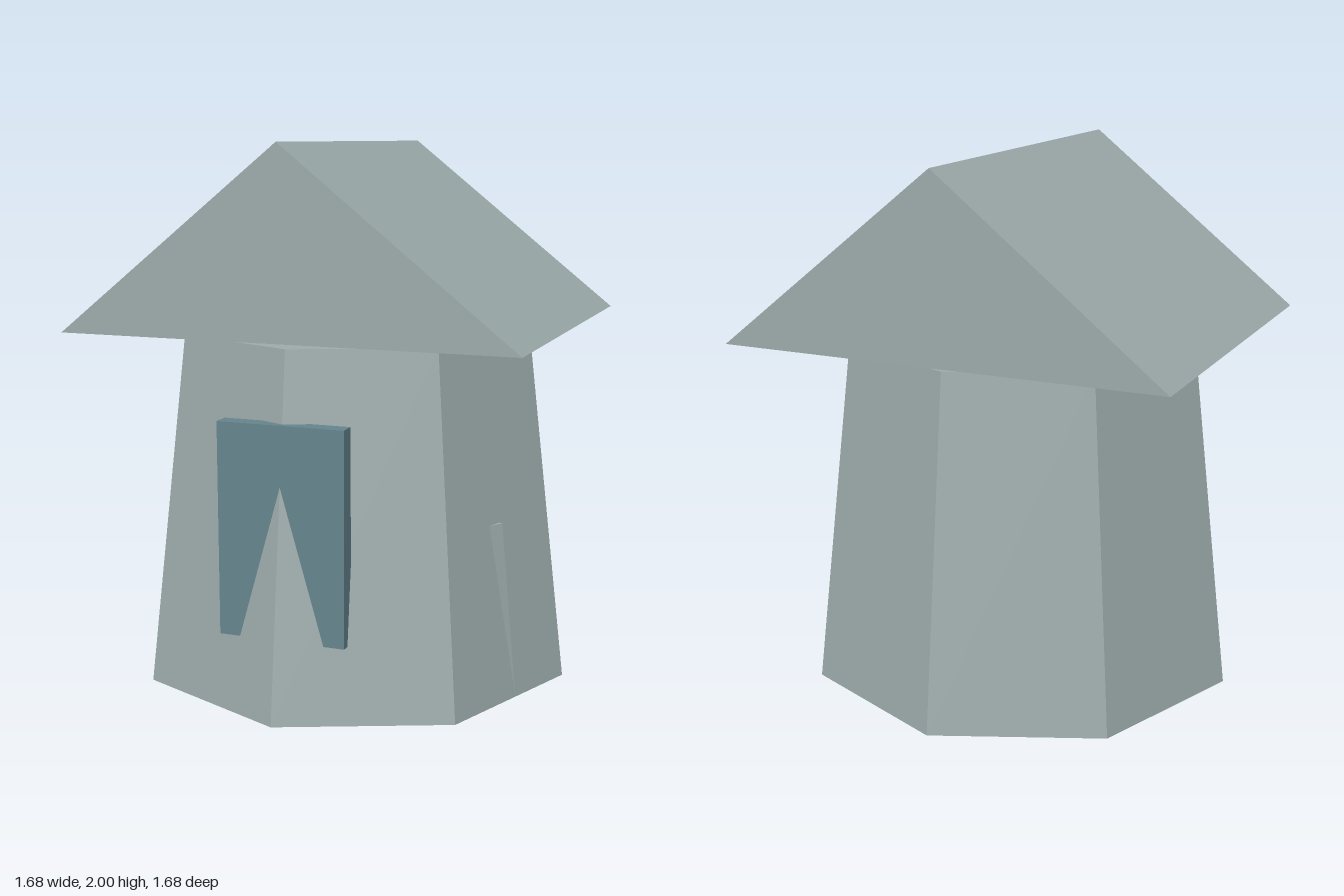
import * as THREE from 'three';

export function createModel() {
  const group = new THREE.Group();
  const stone = new THREE.MeshStandardMaterial({ color: 0x9dacab, flatShading: true });
  stone.name = 'pale stone';
  const blue = new THREE.MeshStandardMaterial({ color: 0x66858f, flatShading: true });
  blue.name = 'dusty blue';

  const add = (name, geometry, material, x = 0, y = 0, z = 0) => {
    const mesh = new THREE.Mesh(geometry, material);
    mesh.name = name;
    mesh.position.set(x, y, z);
    group.add(mesh);
  };

  // Tapered eight-sided tower with one corner facing the front
  const bodyHeight = 1.305;
  add('towerBody', new THREE.CylinderGeometry(0.685, 0.84, bodyHeight, 8), stone, 0, bodyHeight / 2, 0);

  // Gabled roof floating just above the tower
  const gable = new THREE.Shape([
    new THREE.Vector2(-0.842, 1.33),
    new THREE.Vector2(0.842, 1.33),
    new THREE.Vector2(0, 2),
  ]);
  const roof = new THREE.ExtrudeGeometry(gable, { depth: 1.49, bevelEnabled: false });
  add('gabledRoof', roof, stone, 0, 0, -0.745);

  // Front panel, through which the corner of the tower emerges
  add('frontPanel', new THREE.BoxGeometry(0.472, 0.77, 0.065), blue, 0, 0.665, 0.7085);

  // Thin wedge on the side wall, tapering to a point at the ground
  const wedge = new THREE.BufferGeometry();
  wedge.setAttribute('position', new THREE.Float32BufferAttribute([
    0.631, 0.65, 0.32, // outer front
    0.665, 0.65, 0.272, // ridge
    0.652, 0.65, 0.264, // outer back
    0.727, 0.005, 0.275, // foot
  ], 3));
  wedge.setIndex([0, 1, 2, 0, 3, 1, 1, 3, 2, 2, 3, 0]);
  const sideWedge = wedge.toNonIndexed();
  sideWedge.computeVertexNormals();
  add('sideWedge', sideWedge, stone);

  return group;
}
